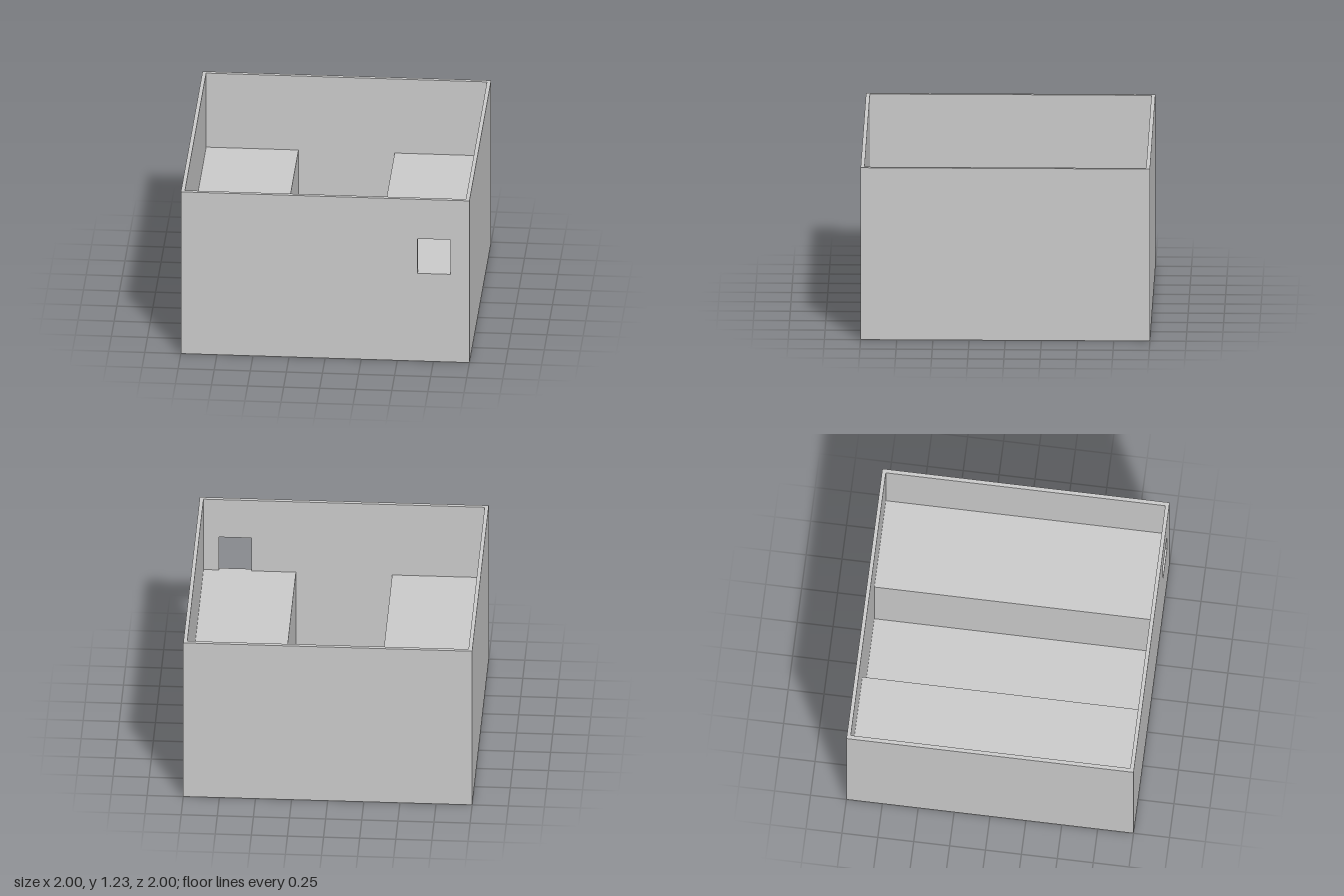
import * as THREE from 'three';

const WALL = 0.027;   // wall and floor thickness
const HEIGHT = 1.23;
const LEDGE = 0.667;  // top of the two side platforms
const CHANNEL = 0.333; // half width of the sunken channel

const material = new THREE.MeshStandardMaterial({ color: 0xcccccc, flatShading: true });

function outline(points) {
  return new THREE.Shape(points.map(([x, y]) => new THREE.Vector2(x, y)));
}

// Extrudes a front-facing profile from z0 to z1
function slab(name, shape, z0, z1) {
  const geometry = new THREE.ExtrudeGeometry(shape, { depth: z1 - z0, bevelEnabled: false });
  geometry.translate(0, 0, z0);
  const mesh = new THREE.Mesh(geometry, material);
  mesh.name = name;
  return mesh;
}

export function createModel() {
  const group = new THREE.Group();
  group.name = 'openRoom';
  const inner = 1 - WALL;
  const wallPoints = [[-1, 0], [1, 0], [1, HEIGHT], [-1, HEIGHT]];

  // Front wall with a window whose sill is flush with the platform
  const front = outline(wallPoints);
  front.holes.push(new THREE.Path([
    new THREE.Vector2(0.64, LEDGE), new THREE.Vector2(0.64, 0.93),
    new THREE.Vector2(0.867, 0.93), new THREE.Vector2(0.867, LEDGE),
  ]));
  group.add(slab('frontWall', front, inner, 1));

  // Solid back wall
  group.add(slab('backWall', outline(wallPoints), -1, -inner));

  // Side walls, raised platforms and channel floor as one stepped section
  const half = [[1, HEIGHT], [inner, HEIGHT], [inner, LEDGE], [CHANNEL, LEDGE], [CHANNEL, WALL]];
  const mirrored = half.map(([x, y]) => [-x, y]).reverse();
  const section = outline([[-1, 0], [1, 0], ...half, ...mirrored]);
  group.add(slab('sideWallsAndPlatforms', section, -inner, inner));

  return group;
}
